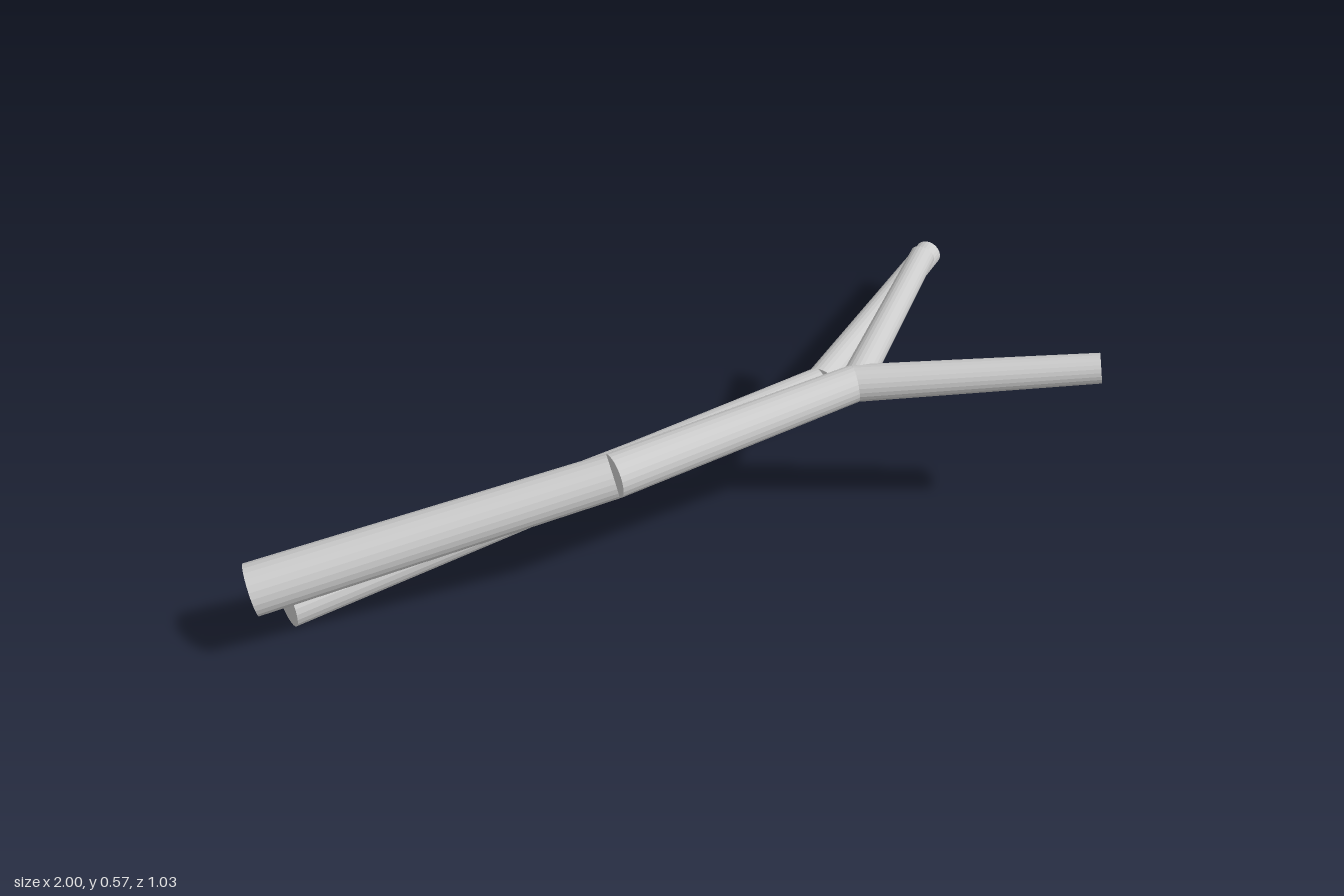
import * as THREE from 'three';

const UP = new THREE.Vector3(0, 1, 0);

// Tapered round segment from a to b; each point is [x, y, z, radius]
function segment(name, a, b, material) {
  const start = new THREE.Vector3(...a.slice(0, 3));
  const end = new THREE.Vector3(...b.slice(0, 3));
  const direction = end.clone().sub(start);
  const geometry = new THREE.CylinderGeometry(b[3], a[3], direction.length(), 24);
  const mesh = new THREE.Mesh(geometry, material);
  mesh.name = name;
  mesh.position.copy(start).add(end).multiplyScalar(0.5);
  mesh.quaternion.setFromUnitVectors(UP, direction.normalize());
  return mesh;
}

// Chain of segments along a list of points
function stick(name, points, material) {
  const group = new THREE.Group();
  group.name = name;
  for (let i = 1; i < points.length; i++) {
    group.add(segment(`${name}Segment${i}`, points[i - 1], points[i], material));
  }
  return group;
}

export function createModel() {
  const model = new THREE.Group();
  model.name = 'branches';
  const wood = new THREE.MeshStandardMaterial({ color: 0xcccccc, flatShading: true });
  wood.name = 'pale grey';

  // Lower bent branch
  model.add(stick('lowerBranch', [
    [-0.885, 0.059, 0.044, 0.058],
    [0, 0.114, -0.055, 0.047],
    [0.49, 0.163, -0.105, 0.038],
    [0.977, 0.16, -0.494, 0.033],
  ], wood));

  // Upper branch with a fork
  const fork = [0.4, 0.428, 0.238, 0.042];
  const upper = stick('upperBranch', [
    [-0.983, 0.208, 0.141, 0.06],
    [-0.2, 0.385, 0.284, 0.051],
    fork,
    [0.877, 0.503, 0.485, 0.034],
  ], wood);
  upper.add(segment('sideTwig', [0.4, 0.428, 0.238, 0.035], [0.682, 0.55, 0.003, 0.028], wood));
  model.add(upper);

  return model;
}
